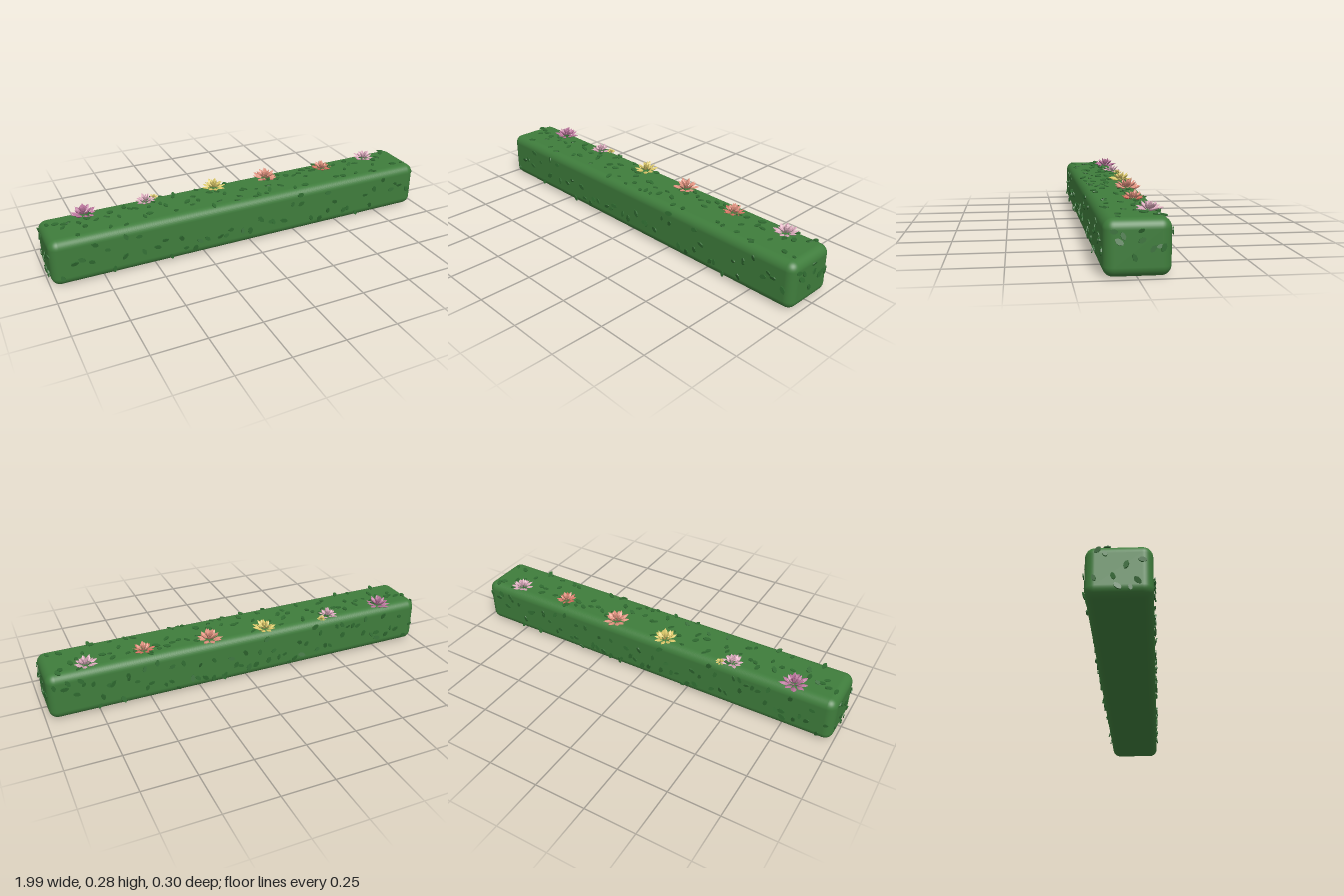
import * as THREE from 'three';
import { mergeGeometries } from 'three/addons/utils/BufferGeometryUtils.js';
import { RoundedBoxGeometry } from 'three/addons/geometries/RoundedBoxGeometry.js';

function material(name, color) {
  const m = new THREE.MeshStandardMaterial({ color });
  m.name = name;
  return m;
}

function seeded(seed) {
  return () => {
    seed = (seed * 1664525 + 1013904223) % 4294967296;
    return seed / 4294967296;
  };
}

// Flat normals for crisp low-poly leaves and petals
function faceted(geometry) {
  const g = geometry.index ? geometry.toNonIndexed() : geometry;
  g.computeVertexNormals();
  return g;
}

// Thin leaf lying in the xz plane, facing +y, long along x
function leafGeometry() {
  const s = new THREE.Shape([[-1, 0], [-0.5, 0.8], [0.3, 1], [0.8, 0.6], [1, 0], [0.5, -0.8], [-0.3, -1], [-0.8, -0.6]]
    .map(([x, y]) => new THREE.Vector2(x * 0.018, y * 0.0105)).reverse());
  const g = new THREE.ExtrudeGeometry(s, { depth: 0.005, bevelEnabled: false });
  return faceted(g.rotateX(-Math.PI / 2));
}

// Pointed four-sided petal growing along +y from the origin
function petalGeometry() {
  const p = [[0.0001, 0], [0.24, 0.5], [0.17, 0.75], [0.0001, 1]].map(([x, y]) => new THREE.Vector2(x, y));
  return faceted(new THREE.LatheGeometry(p, 4).scale(1, 1, 0.5));
}

export function createModel() {
  const root = new THREE.Group();
  root.name = 'floweringHedge';
  const mats = {
    hedge: material('hedge green', 0x3f7d3c),
    leaf: material('leaf green', 0x2f6a30),
    mauve: material('mauve', 0xb8739a),
    pink: material('pale pink', 0xd6a6b8),
    yellow: material('soft yellow', 0xd9c668),
    coral: material('coral', 0xdd8f7c),
    red: material('deep coral', 0xd0705f),
  };
  const add = (parent, name, geometry, mat) => {
    const mesh = new THREE.Mesh(geometry, mat);
    mesh.name = name;
    parent.add(mesh);
    return mesh;
  };

  // Clipped hedge body
  const W = 1.97, H = 0.228, D = 0.268, cy = 0.119;
  const body = add(root, 'hedgeBody', new RoundedBoxGeometry(W, H, D, 5, 0.042), mats.hedge);
  body.position.set(-0.005, cy, -0.002);

  // Scattered leaves on every side but the underside
  const rand = seeded(71);
  const leaf = leafGeometry();
  const up = new THREE.Vector3(0, 1, 0);
  const sides = [
    { name: 'topLeaves', n: [0, 1, 0], u: [1, 0, 0], count: 85 },
    { name: 'frontLeaves', n: [0, 0, 1], u: [1, 0, 0], count: 48 },
    { name: 'backLeaves', n: [0, 0, -1], u: [1, 0, 0], count: 72 },
    { name: 'leftEndLeaves', n: [1, 0, 0], u: [0, 0, 1], count: 9 },
    { name: 'rightEndLeaves', n: [-1, 0, 0], u: [0, 0, 1], count: 9 },
  ];
  const half = new THREE.Vector3(W / 2, H / 2, D / 2);
  for (const side of sides) {
    const n = new THREE.Vector3(...side.n), u = new THREE.Vector3(...side.u);
    const v = new THREE.Vector3().crossVectors(n, u);
    const reach = (a) => Math.abs(a.dot(half));
    const parts = [];
    for (let i = 0; i < side.count; i++) {
      // Spread along the side in even steps with some jitter
      const s = ((i + rand()) / side.count) * 2 - 1;
      const t = rand() * 2 - 1;
      const p = n.clone().multiplyScalar(reach(n) + 0.001)
        .addScaledVector(u, s * (reach(u) - 0.026))
        .addScaledVector(v, t * (reach(v) - 0.026));
      const size = 0.75 + rand() * 0.35;
      const q = new THREE.Quaternion().setFromUnitVectors(up, n);
      q.multiply(new THREE.Quaternion().setFromEuler(
        new THREE.Euler((rand() - 0.5) * 0.6, rand() * Math.PI * 2, (rand() - 0.5) * 0.6, 'YXZ')));
      parts.push(leaf.clone().applyMatrix4(new THREE.Matrix4().compose(
        p.add(body.position), q, new THREE.Vector3(size, size, size))));
    }
    add(root, side.name, mergeGeometries(parts), mats.leaf);
  }

  // Rosette flowers: rings of petals, steeper towards the middle
  const petal = petalGeometry();
  const flowers = [
    { x: -0.775, z: -0.09, size: 1.05, outer: 'mauve', inner: 'mauve' },
    { x: -0.47, z: -0.09, size: 0.85, outer: 'pink', inner: 'pink' },
    { x: -0.11, z: -0.09, size: 0.98, outer: 'yellow', inner: 'yellow' },
    { x: 0.18, z: -0.08, size: 1.05, outer: 'coral', inner: 'coral' },
    { x: 0.505, z: -0.058, size: 0.85, outer: 'red', inner: 'coral' },
    { x: 0.785, z: -0.075, size: 0.92, outer: 'pink', inner: 'pink' },
    { x: -0.42, z: -0.115, size: 0.4, outer: 'yellow', inner: 'yellow' },
  ];
  const rings = [
    { count: 9, lift: 0.28, length: 0.052, out: 0.012, y: 0 },
    { count: 7, lift: 0.75, length: 0.046, out: 0.008, y: 0.003 },
    { count: 4, lift: 1.2, length: 0.042, out: 0.004, y: 0.006 },
  ];
  flowers.forEach((f, k) => {
    const flower = new THREE.Group();
    flower.name = `flower${k + 1}`;
    flower.position.set(f.x, 0.23, f.z);
    flower.scale.setScalar(f.size);
    rings.forEach((ring, r) => {
      const parts = [];
      for (let i = 0; i < ring.count; i++) {
        const angle = ((i + r * 0.5) / ring.count) * Math.PI * 2 + k + (rand() - 0.5) * 0.25;
        const length = ring.length * (0.9 + rand() * 0.2);
        parts.push(petal.clone()
          .scale(length, length, length)
          .rotateX(Math.PI / 2 - ring.lift - (rand() - 0.5) * 0.2)
          .translate(0, ring.y, ring.out)
          .rotateY(angle));
      }
      add(flower, ['outerPetals', 'middlePetals', 'innerPetals'][r], mergeGeometries(parts), mats[r ? f.inner : f.outer]);
    });
    root.add(flower);
  });

  return root;
}
